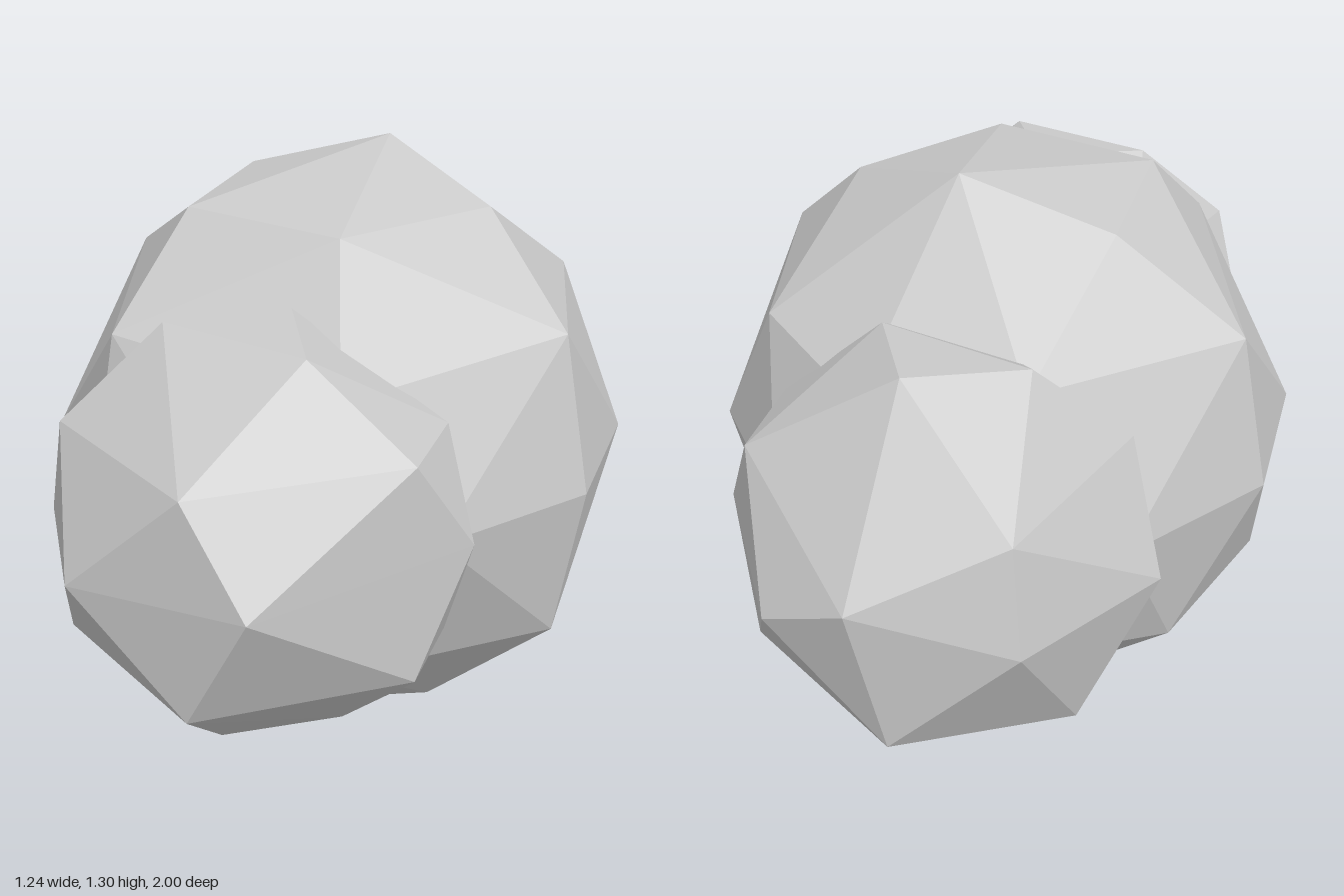
import * as THREE from 'three';
import { ConvexGeometry } from 'three/addons/geometries/ConvexGeometry.js';

const CENTER_Y = 0.652;
const V = (x, y, z) => new THREE.Vector3(x, y, z);

// Points on a horizontal ring, angles in degrees from +x towards +z
const ring = (radius, y, angles) => angles.map((a) => {
  const t = THREE.MathUtils.degToRad(a);
  return V(radius * Math.cos(t), y, radius * Math.sin(t));
});

// Large faceted ball: rings of a coarse sphere with a few merged corners
function bodyPoints() {
  const equator = Array.from({ length: 10 }, (_, i) => 18 + 36 * i);
  return [
    V(0.06, 0.65, -0.19), V(-0.06, -0.65, 0.18),
    ...ring(0.342, 0.555, [0, 72, 144, 216]),
    ...ring(0.342, -0.555, [36, 180, 252, 324]),
    ...ring(0.58, 0.29, [72, 288]),
    ...ring(0.58, -0.29, [108, 180, 252]),
    ...ring(0.553, 0.342, [252, 324]),
    ...ring(0.553, -0.342, [72, 144, 216]),
    V(0.555, 0.345, 0.17), V(-0.555, 0.345, -0.19), V(-0.35, 0.345, 0.46),
    V(0.555, -0.345, 0.19), V(0.35, -0.345, -0.46),
    ...ring(0.65, 0, equator),
  ];
}

// Small faceted ball shared by both ends
function lobePoints() {
  return [
    // crown and underside
    V(0.04, 0.438, -0.12), V(-0.19, 0.424, 0), V(0.15, 0.424, 0.11),
    V(-0.04, -0.438, 0.12), V(0.186, -0.421, 0), V(-0.05, -0.43, -0.11), V(-0.315, -0.322, -0.11),
    // upper and lower bands
    V(0, 0.234, 0.395), V(0.372, 0.233, 0.115), V(-0.372, 0.233, 0.115),
    V(0.372, 0.233, -0.115), V(-0.235, 0.233, -0.325),
    V(0, -0.235, 0.395), V(0.374, -0.235, 0.115), V(-0.372, -0.233, 0.115),
    V(0.374, -0.235, -0.115), V(0, -0.235, -0.393),
    // waist
    V(0.143, 0.024, 0.438), V(-0.26, 0, 0.356), V(0.46, 0.028, 0), V(-0.46, -0.024, 0),
    V(0.06, 0.103, -0.44), V(-0.259, 0, -0.356), V(0.259, 0, -0.356),
  ];
}

export function createModel() {
  const group = new THREE.Group();
  const material = new THREE.MeshStandardMaterial({ color: 0xcccccc, flatShading: true });
  const add = (name, geometry, z) => {
    const mesh = new THREE.Mesh(geometry, material);
    mesh.name = name;
    mesh.position.set(0, CENTER_Y, z);
    group.add(mesh);
  };
  const lobe = new ConvexGeometry(lobePoints());
  add('body', new ConvexGeometry(bodyPoints()), 0);
  add('frontLobe', lobe, 0.56);
  add('backLobe', lobe, -0.56);
  return group;
}
